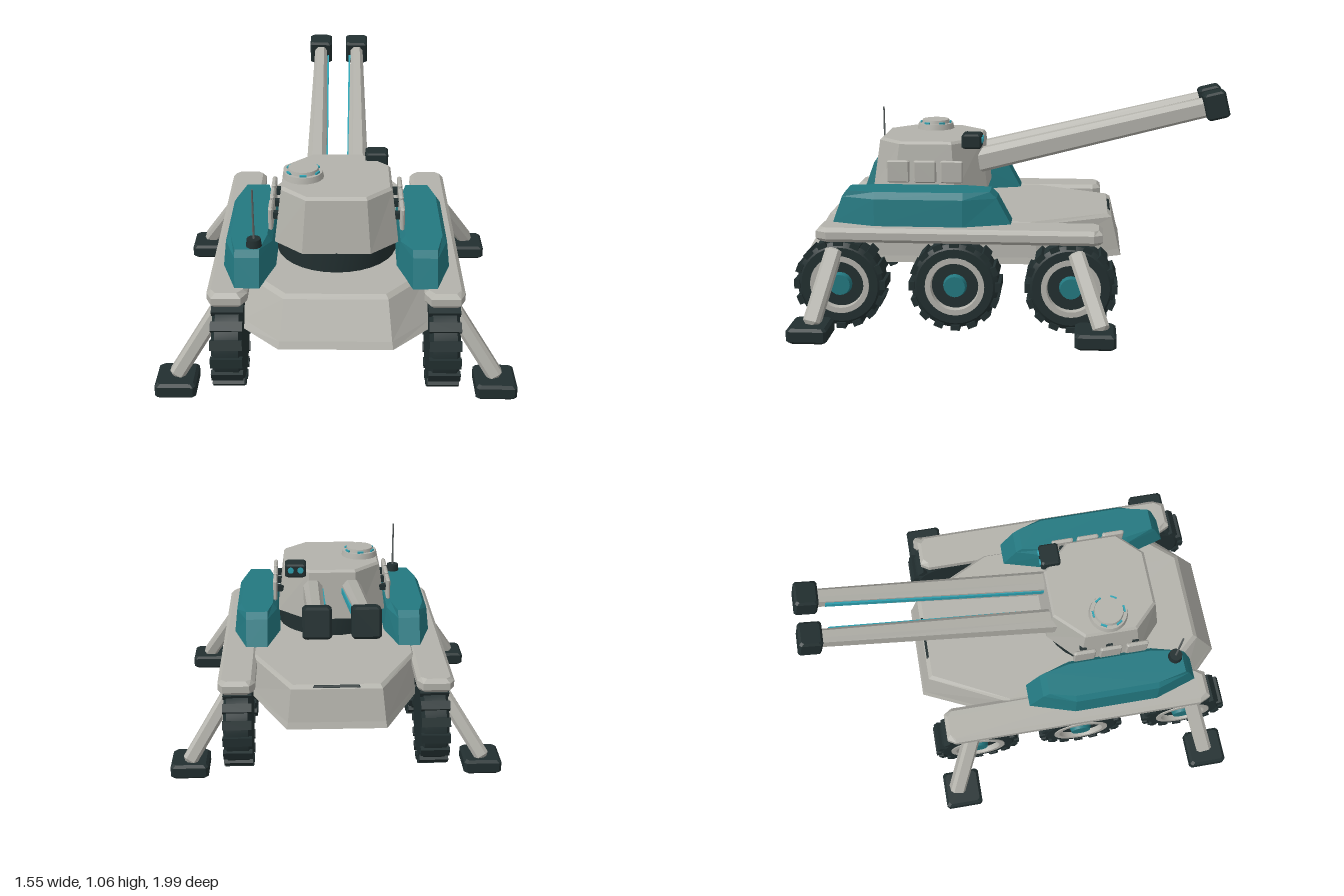
import * as THREE from 'three';
import { toCreasedNormals } from 'three/addons/utils/BufferGeometryUtils.js';

const mat = (name, color) => {
  const m = new THREE.MeshStandardMaterial({ color });
  m.name = name;
  return m;
};

// Skin a stack of rings (arrays of [x, y, z]) with flat faces and end caps.
function loft(rings) {
  const tris = [];
  const n = rings[0].length;
  for (let k = 0; k < rings.length - 1; k++) {
    for (let i = 0; i < n; i++) {
      const j = (i + 1) % n, a = rings[k], b = rings[k + 1];
      tris.push([a[i], a[j], b[j]], [a[i], b[j], b[i]]);
    }
  }
  const first = rings[0], last = rings[rings.length - 1];
  for (let i = 1; i < n - 1; i++) {
    tris.push([first[0], first[i + 1], first[i]], [last[0], last[i], last[i + 1]]);
  }
  // Turn the faces outward whichever way the rings run
  let volume = 0;
  for (const [a, b, c] of tris) {
    volume += a[0] * (b[1] * c[2] - b[2] * c[1]) + a[1] * (b[2] * c[0] - b[0] * c[2]) + a[2] * (b[0] * c[1] - b[1] * c[0]);
  }
  const flat = tris.flatMap(([a, b, c]) => (volume < 0 ? [a, c, b] : [a, b, c])).flat();
  const g = new THREE.BufferGeometry();
  g.setAttribute('position', new THREE.Float32BufferAttribute(flat, 3));
  g.computeVertexNormals();
  return g;
}

// Box with every edge cut by c.
function chamferBox(w, h, d, c) {
  const ring = (y, inset) => {
    const x = w / 2 - inset, z = d / 2 - inset;
    return [[x, z - c], [x - c, z], [c - x, z], [-x, z - c], [-x, c - z], [c - x, -z], [x - c, -z], [x, c - z]]
      .map(([px, pz]) => [px, y, pz]);
  };
  return loft([ring(-h / 2, c), ring(c - h / 2, 0), ring(h / 2 - c, 0), ring(h / 2, c)]);
}

// Plan outline mirrored across x = 0 from its +x half.
const mirrored = (half, y) => [...half, ...half.slice().reverse().map(([x, z]) => [-x, z])].map(([x, z]) => [x, y, z]);

export function createModel() {
  const model = new THREE.Group();
  model.name = 'armouredVehicle';
  const grey = mat('armourGrey', 0xb3b2ab);
  const teal = mat('panelTeal', 0x237880);
  const dark = mat('rubberDark', 0x222f30);
  const glow = mat('lensCyan', 0x2fa3b3);
  const metal = mat('antennaMetal', 0x5c6262);

  const add = (name, geometry, material, x = 0, y = 0, z = 0, parent = model) => {
    const m = new THREE.Mesh(geometry, material);
    m.name = name;
    m.position.set(x, y, z);
    parent.add(m);
    return m;
  };
  const cyl = (r1, r2, h, n = 24) => toCreasedNormals(new THREE.CylinderGeometry(r1, r2, h, n), 0.6);

  // Hull
  add('hull', loft([
    mirrored([[0.24, 0.99], [0.405, 0.82], [0.405, -0.12], [0.23, -0.5]], 0.285),
    mirrored([[0.235, 0.975], [0.4, 0.8], [0.4, -0.115], [0.225, -0.49]], 0.315),
    mirrored([[0.22, 0.885], [0.39, 0.69], [0.39, -0.09], [0.21, -0.455]], 0.465),
    mirrored([[0.21, 0.865], [0.38, 0.67], [0.38, -0.08], [0.2, -0.435]], 0.48),
  ]), grey);
  add('rearLampHousing', chamferBox(0.23, 0.07, 0.07, 0.008), dark, 0, 0.443, -0.415);
  add('rearLamp', new THREE.BoxGeometry(0.17, 0.04, 0.008), glow, 0, 0.443, -0.451);

  // Wheels
  const tire = toCreasedNormals(new THREE.LatheGeometry([
    [0, -0.065], [0.17, -0.065], [0.197, -0.05], [0.197, 0.05], [0.175, 0.065], [0.135, 0.065], [0.115, 0.045], [0, 0.045],
  ].map(([r, y]) => new THREE.Vector2(r, y)), 32), 0.5);
  const rim = toCreasedNormals(new THREE.LatheGeometry([
    [0.105, 0.04], [0.135, 0.06], [0.135, 0.07], [0.11, 0.07], [0.105, 0.04],
  ].map(([r, y]) => new THREE.Vector2(r, y)), 32), 0.5);
  const hub = cyl(0.048, 0.056, 0.03, 16);
  const lug = new THREE.BoxGeometry(0.026, 0.136, 0.042);
  const LUGS = 16;
  for (const s of [-1, 1]) {
    for (const z of [0.78, 0.255, -0.27]) {
      const wheel = new THREE.Group();
      wheel.name = 'wheel';
      wheel.position.set(s * 0.46, 0.21, z);
      wheel.rotation.z = -s * Math.PI / 2;
      model.add(wheel);
      add('tire', tire, dark, 0, 0, 0, wheel);
      add('rim', rim, grey, 0, 0, 0, wheel);
      add('hub', hub, teal, 0, 0.055, 0, wheel);
      for (let i = 0; i < LUGS; i++) {
        const a = (i / LUGS) * Math.PI * 2;
        add('treadLug', lug, dark, Math.cos(a) * 0.196, 0, Math.sin(a) * 0.196, wheel).rotation.y = -a;
      }
    }

    // Fender over each row of wheels
    const fender = (y, e) => [[0.375 + e, 0.83], [0.4 + e, 0.88 - e], [0.525 - e, 0.88 - e], [0.548 - e, 0.83],
      [0.548 - e, -0.37], [0.525 - e, -0.41 + e], [0.4 + e, -0.41 + e], [0.375 + e, -0.37]].map(([x, z]) => [s * x, y, z]);
    add('fender', loft([fender(0.415, 0.012), fender(0.43, 0), fender(0.462, 0), fender(0.48, 0.018)]), grey);

    // Faceted side pod
    const pod = (y, e, ze) => [[0.325, ze], [0.265 + e, 0.22], [0.265 + e, 0.62], [0.325, 0.825 - ze * 0.7],
      [0.43, 0.825 - ze * 0.7], [0.495 - e, 0.62], [0.495 - e, 0.22], [0.43, ze]].map(([x, z]) => [s * x, y, z]);
    add('sidePod', loft([pod(0.478, 0, 0.005), pod(0.6, 0.014, 0.07), pod(0.63, 0.035, 0.1)]), teal);

    // Outrigger legs and feet
    for (const [z0, z1, footZ] of [[0.8, 0.875, 0.88], [-0.29, -0.41, -0.38]]) {
      const top = new THREE.Vector3(s * 0.5, 0.375, z0);
      const bottom = new THREE.Vector3(s * 0.695, 0.075, z1);
      const leg = add('outriggerLeg', chamferBox(0.068, top.distanceTo(bottom), 0.075, 0.014), grey);
      leg.position.copy(top).lerp(bottom, 0.5);
      leg.quaternion.setFromUnitVectors(new THREE.Vector3(0, 1, 0), top.clone().sub(bottom).normalize());
      add('outriggerFoot', chamferBox(0.176, 0.07, 0.18, 0.012), dark, s * 0.688, 0.05, footZ);
    }

    // Armour plates beside the turret
    for (const z of [0.54, 0.415, 0.29]) {
      add('armourPlate', chamferBox(0.02, 0.105, 0.105, 0.006), grey, s * 0.287, 0.688, z);
      add('plateBracket', new THREE.BoxGeometry(0.05, 0.03, 0.03), dark, s * 0.257, 0.688, z);
    }
  }

  // Turret
  add('turretRing', cyl(0.27, 0.27, 0.1, 32), dark, 0, 0.525, 0.415);
  add('turret', loft([
    mirrored([[0.148, 0.685], [0.272, 0.57], [0.272, 0.28], [0.125, 0.14]], 0.572),
    mirrored([[0.131, 0.65], [0.242, 0.54], [0.242, 0.295], [0.115, 0.165]], 0.808),
    mirrored([[0.127, 0.637], [0.232, 0.532], [0.232, 0.3], [0.11, 0.175]], 0.82),
  ]), grey);

  // Hatch with periscopes
  add('hatchBase', cyl(0.086, 0.092, 0.028), grey, -0.148, 0.833, 0.42);
  add('hatchLid', cyl(0.066, 0.07, 0.018), grey, -0.148, 0.855, 0.42);
  for (let i = 0; i < 6; i++) {
    const a = (i / 6) * Math.PI * 2 + 0.5;
    add('periscope', new THREE.BoxGeometry(0.008, 0.009, 0.03), glow,
      -0.148 + Math.cos(a) * 0.073, 0.851, 0.42 + Math.sin(a) * 0.073).rotation.y = -a;
  }

  // Sight box
  add('sightBox', chamferBox(0.104, 0.068, 0.092, 0.008), dark, 0.182, 0.82, 0.203);
  for (const x of [0.158, 0.206]) {
    add('sightLens', cyl(0.015, 0.015, 0.008, 12), glow, x, 0.825, 0.155).rotation.x = Math.PI / 2;
  }

  // Antenna
  add('antennaBase', cyl(0.03, 0.034, 0.035, 12), dark, -0.35, 0.647, 0.72);
  add('antennaRod', cyl(0.004, 0.005, 0.235, 8), metal, -0.35, 0.775, 0.72);

  // Twin rising guns
  const section = (w, h, z) => [[w * 0.75, -h], [w, -h * 0.75], [w, h * 0.5], [w * 0.5, h],
    [-w * 0.5, h], [-w, h * 0.5], [-w, -h * 0.75], [-w * 0.75, -h]].map(([x, y]) => [x, y, z]);
  const barrel = loft([section(0.048, 0.055, 0.06), section(0.047, 0.055, 0), section(0.033, 0.045, -1.08)]);
  for (const s of [-1, 1]) {
    const gun = new THREE.Group();
    gun.name = 'gun';
    gun.position.set(s * 0.097, 0.712, 0.17);
    gun.rotation.x = 0.243;
    model.add(gun);
    add('barrel', barrel, grey, 0, 0, 0, gun);
    add('barrelStrip', new THREE.BoxGeometry(0.009, 0.026, 1.04), glow, -s * 0.043, 0, -0.53, gun).rotation.y = -s * 0.008;
    add('muzzle', chamferBox(0.116, 0.126, 0.105, 0.01), dark, 0, 0, -1.136, gun);
  }
  return model;
}
